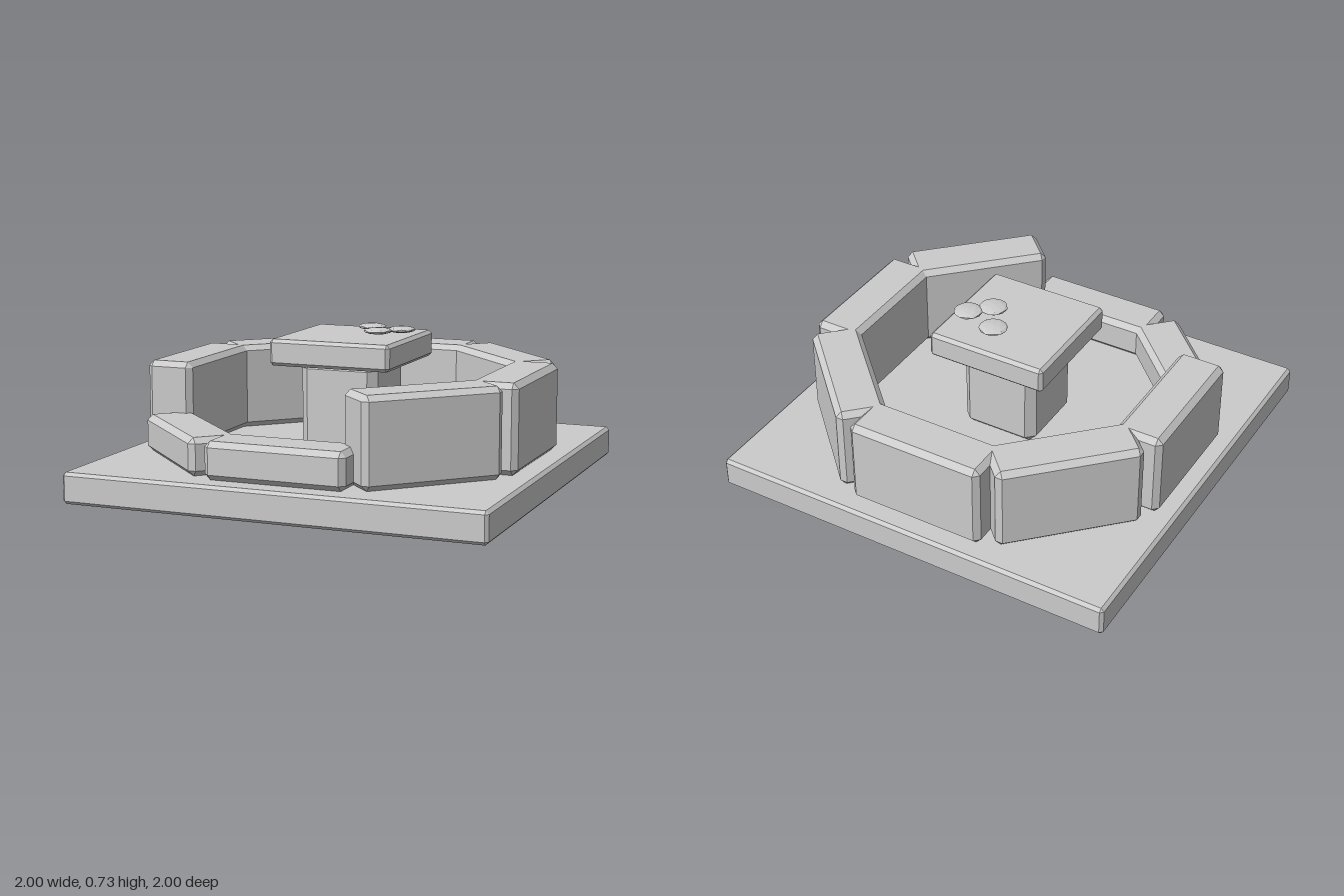
import * as THREE from 'three';
import { ConvexGeometry } from 'three/addons/geometries/ConvexGeometry.js';

const stone = new THREE.MeshStandardMaterial({ color: 0xcccccc, flatShading: true });

// Box with a flat chamfer on every edge, standing on its own y = 0
function chamferBox(w, h, d, c) {
  const points = [];
  for (const sx of [-1, 1]) for (const sy of [-1, 1]) for (const sz of [-1, 1]) {
    for (let axis = 0; axis < 3; axis++) {
      const inset = [c, c, c];
      inset[axis] = 0;
      points.push(new THREE.Vector3(
        sx * (w / 2 - inset[0]),
        sy * (h / 2 - inset[1]) + h / 2,
        sz * (d / 2 - inset[2])));
    }
  }
  return new ConvexGeometry(points);
}

function add(parent, name, geometry, x, y, z) {
  const mesh = new THREE.Mesh(geometry, stone);
  mesh.name = name;
  mesh.position.set(x, y, z);
  parent.add(mesh);
  return mesh;
}

export function createModel() {
  const model = new THREE.Group();
  model.name = 'stoneCircle';

  // Square floor slab
  add(model, 'floorSlab', chamferBox(2, 0.146, 2, 0.015), 0, 0, 0);

  // Eight wall blocks in an octagon; the front and front right ones are low
  const ring = new THREE.Group();
  ring.name = 'wallRing';
  ring.position.set(-0.004, 0.146, -0.004);
  model.add(ring);
  const radius = 0.802;
  for (let i = 0; i < 8; i++) {
    const angle = i * Math.PI / 4;
    const low = i === 0 || i === 7;
    const block = add(ring, low ? 'lowWallBlock' : 'wallBlock',
      chamferBox(0.67, low ? 0.174 : 0.416, 0.23, 0.026),
      Math.sin(angle) * radius, 0, Math.cos(angle) * radius);
    block.rotation.y = angle;
  }

  // Central table
  add(model, 'tablePillar', chamferBox(0.38, 0.44, 0.38, 0.04), -0.005, 0.146, -0.005);
  add(model, 'tableTop', chamferBox(0.595, 0.125, 0.595, 0.016), -0.004, 0.567, -0.004);

  // Three flat pebbles on the table
  [[0.045, -0.14], [0.213, -0.085], [0.128, 0.002]].forEach(([x, z], i) => {
    const pebble = add(model, 'pebble', new THREE.IcosahedronGeometry(0.068, 1), x, 0.716, z);
    pebble.scale.y = 0.23;
    pebble.rotation.y = i * 0.9;
  });

  return model;
}
